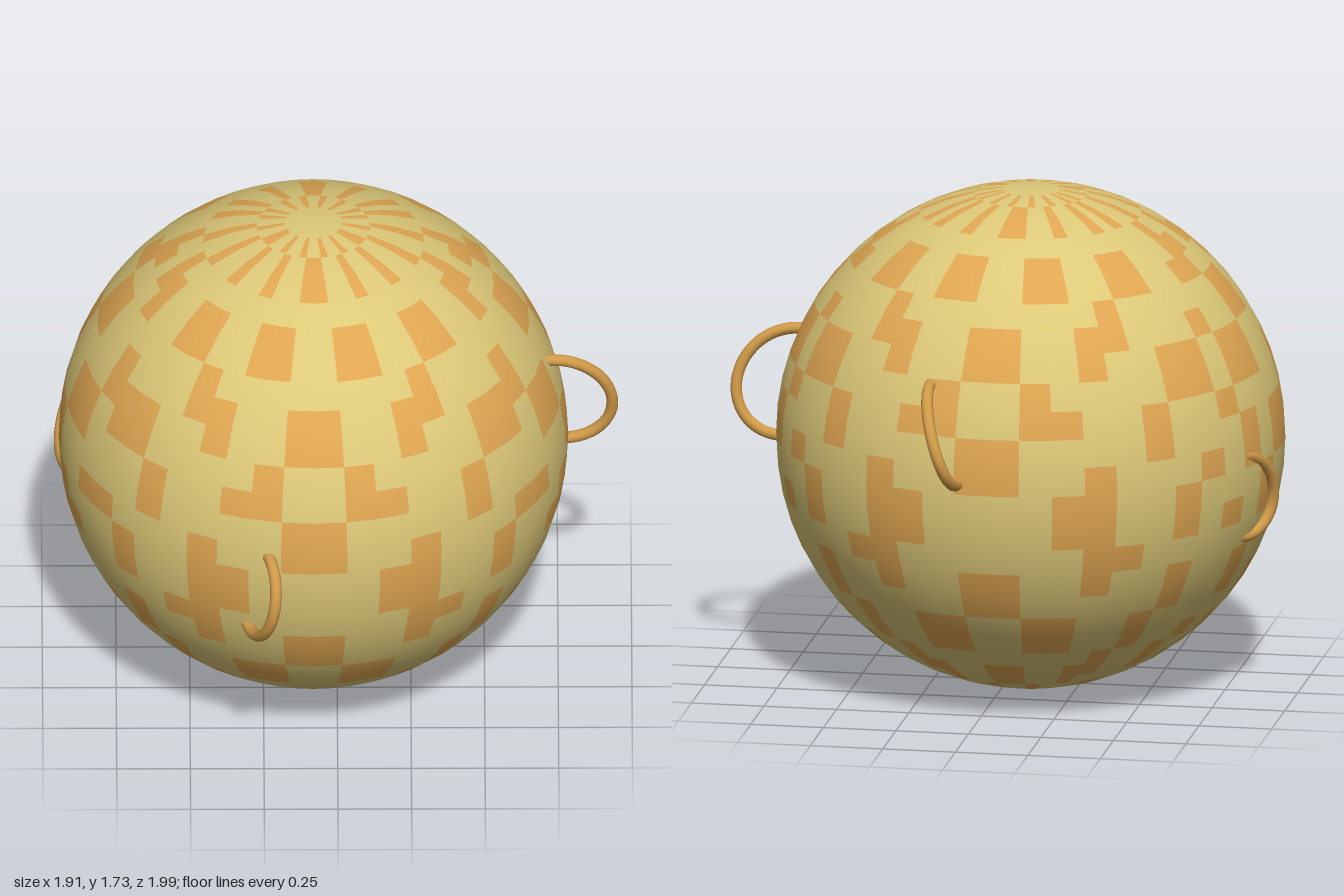
import * as THREE from 'three';

const R = 0.865, CENTRE = new THREE.Vector3(-0.08, R, 0);
const COLS = 48, ROWS = 28;

// Patch pattern, top to bottom: [front/back zone, side zone], both mirrored around the ball
const PATTERN = [
  ['........', '........'],
  ['.#..#..#', '#..#..#.'],
  ['#..#..#.', '.#..#..#'],
  ['#..#..#.', '.#..#..#'],
  ['........', '..#..#..'],
  ['.##..##.', '.##.##..'],
  ['.##..##.', '.#...##.'],
  ['....#...', '...##...'],
  ['#..##...', '#..##..#'],
  ['#..#..##', '#....##.'],
  ['.#....##', '.##..##.'],
  ['.##..#..', '.##....#'],
  ['#....#..', '...##.#.'],
  ['#..#...#', '#..##.#.'],
  ['..##..#.', '..#..#..'],
  ['..##..#.', '.##..#.#'],
  ['...##...', '...##...'],
  ['#..#..#.', '...#..#.'],
  ['#.....#.', '#...#.#.'],
  ['.##..#..', '.##.#...'],
  ['.##..#..', '.##..#.#'],
  ['....#..#', '...#.#..'],
  ['#..##..#', '#..#..#.'],
  ['#..#....', '#...#.#.'],
  ['.#...##.', '.##.....'],
  ['.#...##.', '.#..##.#'],
  ['#..#...#', '...#..#.'],
  ['........', '........'],
];

function isPatch(row, col) {
  const c = col < COLS / 2 ? col : COLS - 1 - col;   // mirror left and right
  const [front, side] = PATTERN[row];
  if (c < 8) return front[c] === '#';
  if (c < 16) return side[c - 8] === '#';
  return front[23 - c] === '#';
}

// Ball whose faces are sorted into plain and patch groups
function ballGeometry() {
  const geo = new THREE.SphereGeometry(R, COLS, ROWS, Math.PI / 2);
  const src = geo.index.array, plain = [], patch = [];
  let i = 0;
  for (let row = 0; row < ROWS; row++) {
    const n = row === 0 || row === ROWS - 1 ? 3 : 6;
    for (let col = 0; col < COLS; col++, i += n) {
      (isPatch(row, col) ? patch : plain).push(...src.slice(i, i + n));
    }
  }
  geo.setIndex([...plain, ...patch]);
  geo.addGroup(0, plain.length, 0);
  geo.addGroup(plain.length, patch.length, 1);
  return geo;
}

// Half-ring from one foot, over the apex, to the other foot
function ringGeometry(a, apex, b, tube = 0.02) {
  const A = new THREE.Vector3(...a), B = new THREE.Vector3(...b);
  const mid = A.clone().add(B).multiplyScalar(0.5);
  const along = A.clone().sub(mid);
  const out = new THREE.Vector3(...apex).sub(mid);
  const points = [];
  for (let k = -1; k <= 17; k++) {
    const t = Math.PI * k / 16;
    points.push(mid.clone().addScaledVector(along, Math.cos(t)).addScaledVector(out, Math.sin(t)));
  }
  return new THREE.TubeGeometry(new THREE.CatmullRomCurve3(points), 36, tube, 10);
}

export function createModel() {
  const mat = (name, color) => {
    const m = new THREE.MeshStandardMaterial({ color });
    m.name = name;
    return m;
  };
  const straw = mat('straw', 0xdcc878);
  const amber = mat('amber', 0xdfa652);
  const bronze = mat('bronze', 0xd09a48);

  const model = new THREE.Group();
  model.name = 'ringedBall';

  const ball = new THREE.Mesh(ballGeometry(), [straw, amber]);
  ball.name = 'ball';
  ball.position.copy(CENTRE);
  model.add(ball);

  // Four rings: first foot, apex, second foot
  const rings = {
    leftRing: [[0.72, 1.19, 0.04], [0.932, 1.02, 0.0], [0.78, 0.83, -0.03]],
    frontRing: [[-0.235, 0.92, 0.84], [-0.22, 0.765, 0.975], [-0.3, 0.61, 0.81]],
    backRing: [[0.13, 1.22, -0.75], [0.08, 1.06, -0.972], [0.02, 0.9, -0.85]],
    rightRing: [[-0.87, 0.9, -0.3], [-0.94, 0.73, -0.13], [-0.85, 0.6, -0.24]],
  };
  for (const [name, [a, apex, b]] of Object.entries(rings)) {
    const ring = new THREE.Mesh(ringGeometry(a, apex, b), bronze);
    ring.name = name;
    model.add(ring);
  }
  return model;
}
